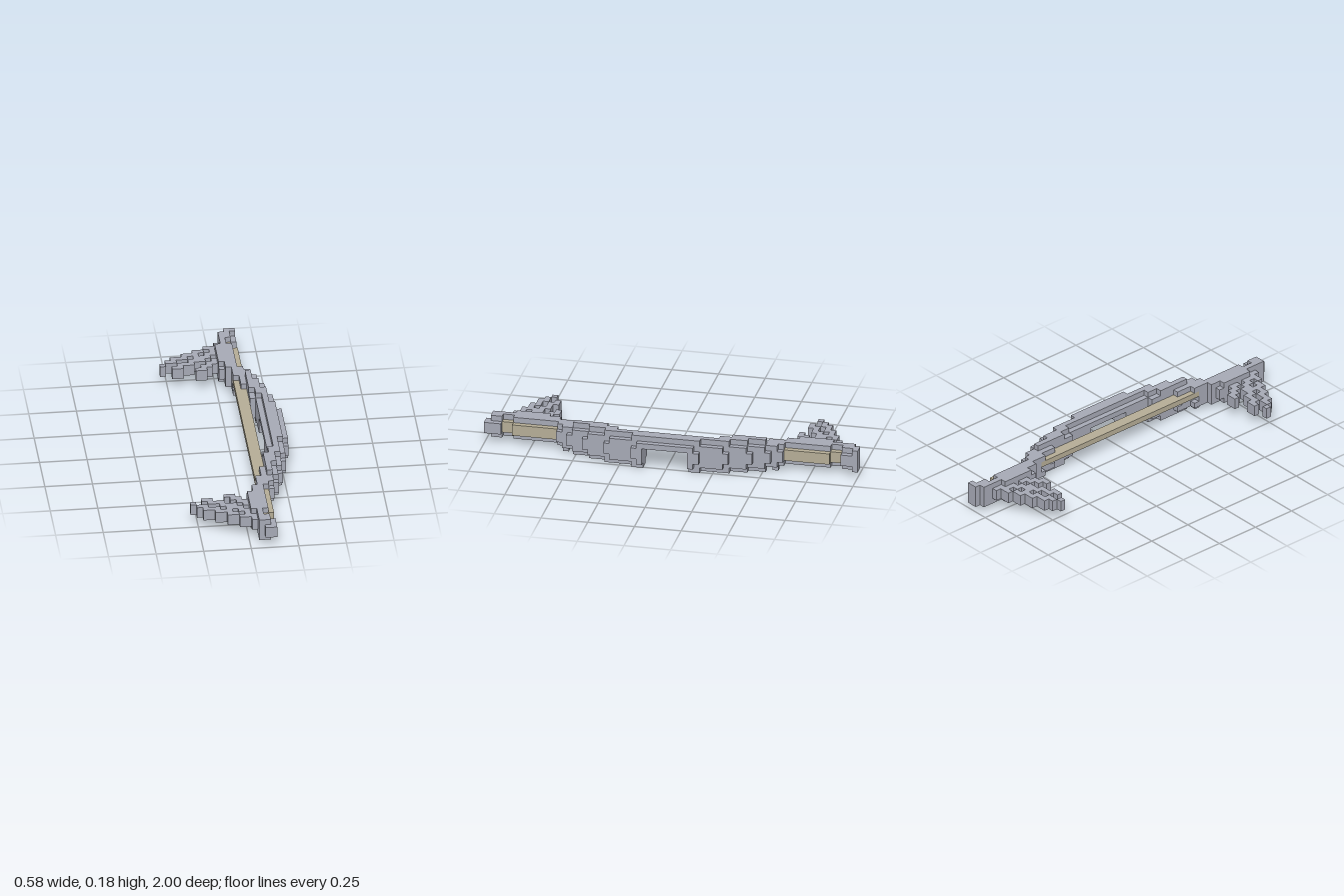
import * as THREE from 'three';
import { mergeGeometries } from 'three/addons/utils/BufferGeometryUtils.js';

// One block is 1/33 unit; x is counted in blocks from the inner wing tips (0..19),
// y in layers from the ground (0..6), z in blocks from the centre (0..33).
const U = 1 / 33;

function block(x0, x1, y0, y1, z0, z1) {
  const g = new THREE.BoxGeometry((x1 - x0) * U, (y1 - y0) * U, (z1 - z0) * U);
  g.translate(((x0 + x1) / 2 - 9.5) * U, ((y0 + y1) / 2) * U, ((z0 + z1) / 2) * U);
  return g;
}

export function createModel() {
  const metal = new THREE.MeshStandardMaterial({ color: 0xa6a9b5 });
  metal.name = 'grey metal';
  const tan = new THREE.MeshStandardMaterial({ color: 0xb5ad96 });
  tan.name = 'tan bar';

  const model = new THREE.Group();
  model.name = 'curvedGuard';
  const add = (name, material, blocks) => {
    const mesh = new THREE.Mesh(mergeGeometries(blocks.map(b => block(...b))), material);
    mesh.name = name;
    model.add(mesh);
  };
  // Turns a block of the +z half into its copy on side s
  const side = (s, [x0, x1, y0, y1, z0, z1]) =>
    s > 0 ? [x0, x1, y0, y1, z0, z1] : [x0, x1, y0, y1, -z1, -z0];

  // Stepped bow, each run is [z0, z1, inner x, outer x]
  const middle = [[4, 6, 15, 19], [6, 9, 15, 18], [9, 11, 14, 18], [11, 15, 14, 17],
    [15, 18, 13, 16], [18, 20, 12, 15]];
  const shoulder = [[4, 5, 15, 19], [5, 9, 15, 18], [9, 10, 14, 18], [10, 14, 14, 17],
    [14, 17, 13, 16], [17, 19, 12, 15], [19, 20, 12, 14]];
  const ridge = [[4, 6, 16, 18], [6, 9, 16, 17], [9, 11, 15, 17], [11, 14, 14, 16], [14, 17, 14, 15]];
  const layers = [[0, 1, ridge], [1, 2, shoulder], [2, 4, middle], [4, 5, shoulder], [5, 6, ridge]];

  // Wing strands, each run is [z, x0, x1], one block deep
  const strands = [
    [[28, 8, 10], [27, 6, 8], [26, 4, 7], [25, 2, 5], [24, 1, 3], [23, 0, 1]],
    [[27, 9, 10], [26, 8, 10], [25, 6, 9], [24, 5, 8], [23, 3, 6], [22, 2, 4]],
    [[24, 9, 10], [23, 8, 10], [22, 7, 9], [21, 6, 8]],
  ];

  // Bridge over the central opening
  add('bridge', metal, [[15, 19, 4, 5, -4, 4], [16, 18, 5, 6, -4, 4]]);

  for (const s of [1, -1]) {
    const tag = s > 0 ? 'Front' : 'Back';

    const arm = [[13, 14, 0, 1, 18, 19]];
    for (const [y0, y1, runs] of layers)
      for (const [z0, z1, x0, x1] of runs) arm.push([x0, x1, y0, y1, z0, z1]);
    add('arm' + tag, metal, arm.map(b => side(s, b)));

    // Straight end section with wing root
    add('end' + tag, metal, [
      [11, 12, 1, 5, 20, 30], [12, 13, 1, 2, 20, 28], [12, 13, 4, 5, 20, 28],
      [12, 13, 2, 4, 20, 28], [10, 11, 1, 5, 22, 28], [10, 11, 2, 4, 21, 22],
      [10, 11, 2, 4, 28, 30],
    ].map(b => side(s, b)));

    // Tip, with a taller end plate at the back
    add('tip' + tag, metal, [
      [11, 13, 1, 5, 30, 32], [13, 14, 2, 4, 30, 32],
      [12, 14, s > 0 ? 2 : 1, s > 0 ? 4 : 5, 32, 33],
    ].map(b => side(s, b)));

    // Tan inlay along the outer edge of the end
    add('inlay' + tag, tan, [
      [13, 14, 2, 4, 20, 28], [12, 13, 2, 4, 28, 30],
    ].map(b => side(s, b)));

    strands.forEach((runs, i) => add('wing' + tag + 'Strand' + (i + 1), metal,
      runs.map(([z, x0, x1]) => side(s, [x0, x1, 2, 4, z, z + 1]))));
  }

  // Straight bar behind the bow
  add('bar', tan, [[12, 13, 3, 4, -18, 18], [13, 14, 3, 4, -15, 15]]);
  return model;
}
